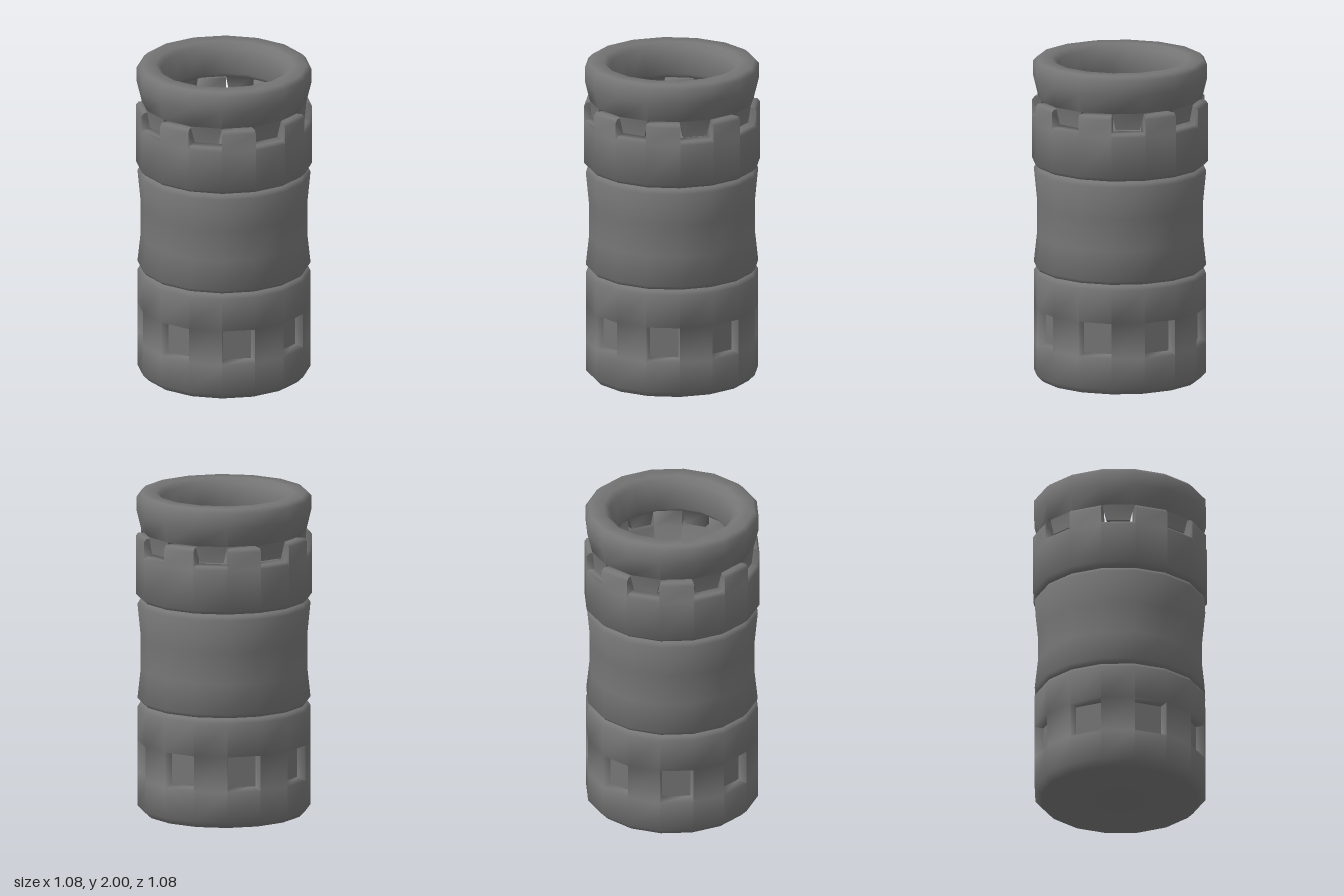
import * as THREE from 'three';
import { toCreasedNormals } from 'three/addons/utils/BufferGeometryUtils.js';

const SIDES = 16;

// Point on the 16-sided column: radius r, height y, at facet position k (fractions lie on the flat facet)
function P(r, y, k) {
  const corner = (i) => {
    const a = (i * 2 * Math.PI) / SIDES;
    return new THREE.Vector3(r * Math.sin(a), y, r * Math.cos(a));
  };
  const i = Math.floor(k);
  return corner(i).lerp(corner(i + 1), k - i);
}

// Collects convex polygons into one mesh
class Surface {
  constructor() { this.data = []; }

  poly(...pts) {
    for (let i = 1; i < pts.length - 1; i++) {
      const tri = [pts[0], pts[i], pts[i + 1]];
      if (new THREE.Triangle(...tri).getArea() < 1e-7) continue;
      tri.forEach((p) => this.data.push(p.x, p.y, p.z));
    }
  }

  // Sweeps a profile of [r, y] points across facet k
  band(profile, k) {
    for (let i = 0; i < profile.length - 1; i++) {
      const [r0, y0] = profile[i], [r1, y1] = profile[i + 1];
      this.poly(P(r0, y0, k), P(r0, y0, k + 1), P(r1, y1, k + 1), P(r1, y1, k));
    }
  }

  // Soft shading across edges up to slightly over a right angle
  mesh(name) {
    const geo = new THREE.BufferGeometry();
    geo.setAttribute('position', new THREE.Float32BufferAttribute(this.data, 3));
    const mesh = new THREE.Mesh(
      toCreasedNormals(geo, 1.5),
      new THREE.MeshStandardMaterial({ color: 0x757575 }),
    );
    mesh.name = name;
    return mesh;
  }
}

// Bottom section with recessed square windows in every other facet
function createBase() {
  const wall = new Surface(), panes = new Surface();
  const lower = [[0, 0], [0.49, 0], [0.53, 0.04], [0.53, 0.23]];
  const upper = [[0.53, 0.45], [0.53, 0.66], [0.515, 0.683], [0, 0.683]];
  for (let k = 0; k < SIDES; k++) {
    if (k % 2 === 0) {
      wall.band([...lower, ...upper], k);
      continue;
    }
    wall.band(lower, k);
    wall.band(upper, k);
    const rect = (r, y0, y1, m) => [
      P(r, y0, k + m), P(r, y0, k + 1 - m), P(r, y1, k + 1 - m), P(r, y1, k + m),
    ];
    const frame = rect(0.53, 0.23, 0.45, 0);
    const pane = rect(0.478, 0.25, 0.44, 0.035);
    panes.poly(...pane);
    for (let i = 0; i < 4; i++) {
      const j = (i + 1) % 4;
      wall.poly(frame[i], frame[j], pane[j], pane[i]);
    }
  }
  const base = new THREE.Group();
  base.name = 'base';
  base.add(wall.mesh('baseWall'), panes.mesh('windowPanes'));
  return base;
}

// Waisted middle section
function createMiddle() {
  const s = new Surface();
  const profile = [
    [0, 0.692], [0.51, 0.692], [0.53, 0.715], [0.51, 0.9],
    [0.51, 1.1], [0.53, 1.305], [0.515, 1.33], [0, 1.33],
  ];
  for (let k = 0; k < SIDES; k++) s.band(profile, k);
  return s.mesh('middleSection');
}

// Cup with upright battlement teeth
function createCollar() {
  const s = new Surface();
  const body = [[0, 1.342], [0.515, 1.342], [0.54, 1.365], [0.54, 1.62]];
  const tooth = [[0.54, 1.62], [0.54, 1.73], [0.525, 1.75], [0.45, 1.75], [0.44, 1.64]];
  const notch = [[0.54, 1.62], [0.52, 1.64], [0.44, 1.64]];
  const inside = [[0.44, 1.64], [0.42, 1.45], [0, 1.45]];
  const cheek = [[0.52, 1.64], ...tooth];
  for (let k = 0; k < SIDES; k++) {
    const isTooth = k % 2 === 1;
    s.band(body, k);
    s.band(isTooth ? tooth : notch, k);
    s.band(inside, k);
    if (isTooth) {
      s.poly(...cheek.map(([r, y]) => P(r, y, k)));
      s.poly(...cheek.map(([r, y]) => P(r, y, k + 1)).reverse());
    }
  }
  return s.mesh('toothedCollar');
}

// Open top ring with tapered teeth hanging between the collar teeth
function createTopRing() {
  const s = new Surface();
  const body = [
    [0.505, 1.762], [0.535, 1.885], [0.535, 1.975], [0.51, 2], [0.42, 2],
    [0.385, 1.97], [0.333, 1.82], [0.36, 1.79], [0.44, 1.77],
  ];
  const taper = 0.12;
  for (let k = 0; k < SIDES; k++) {
    s.band(body, k);
    if (k % 2 === 1) {
      s.band([[0.44, 1.77], [0.505, 1.762]], k);
      continue;
    }
    // Cross-section of one end of the tooth: inner bottom, outer bottom, outer top, inner top
    const end = (top, bottom) => [
      P(0.44, 1.66, bottom), P(0.5, 1.66, bottom), P(0.505, 1.762, top), P(0.44, 1.77, top),
    ];
    const a = end(k, k + taper), b = end(k + 1, k + 1 - taper);
    s.poly(...a);
    s.poly(...[...b].reverse());
    for (const [i, j] of [[0, 1], [1, 2], [3, 0]]) s.poly(a[i], b[i], b[j], a[j]);
  }
  return s.mesh('topRing');
}

export function createModel() {
  const group = new THREE.Group();
  group.name = 'segmentedColumn';
  group.add(createBase(), createMiddle(), createCollar(), createTopRing());
  return group;
}
